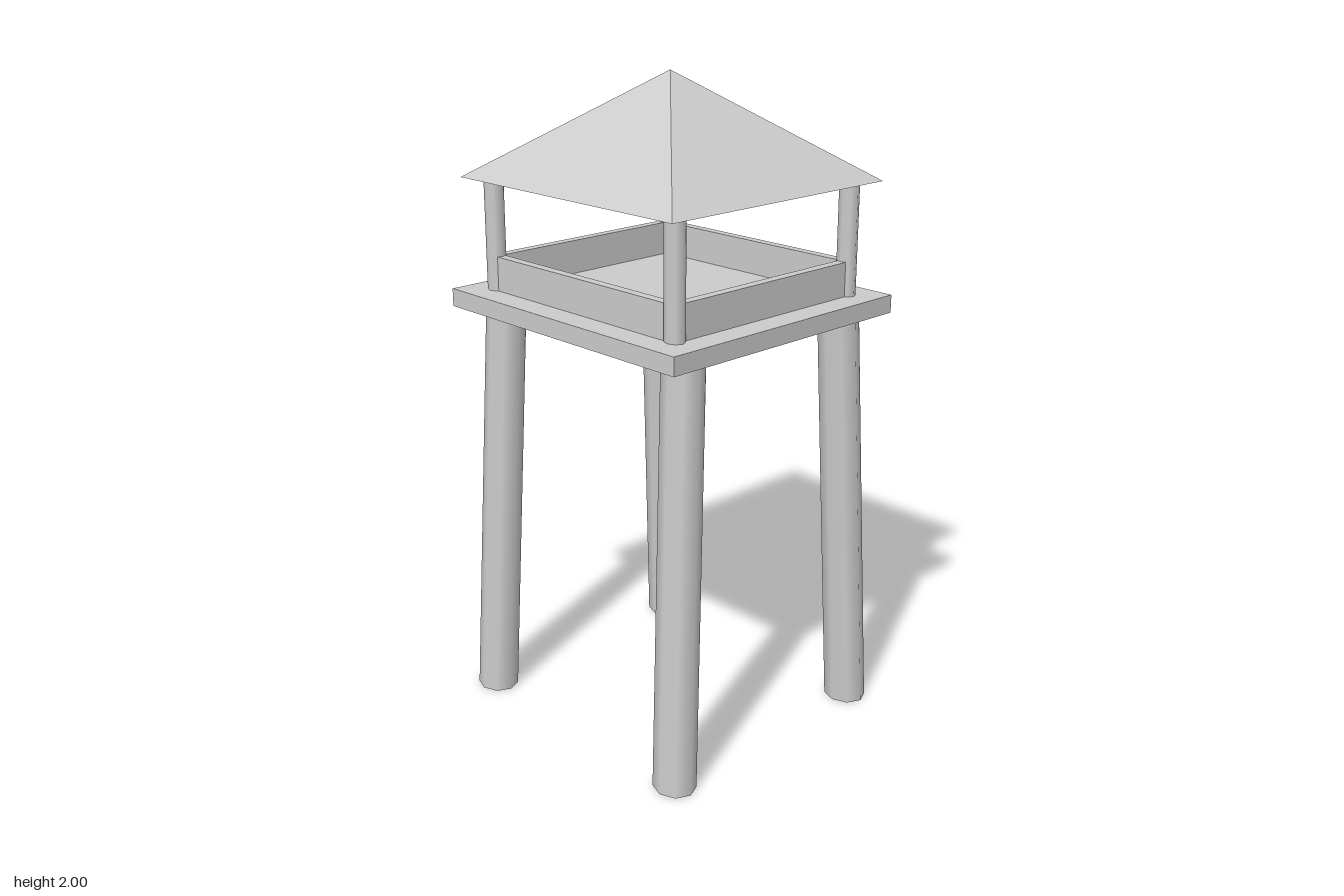
import * as THREE from 'three';

const mat = new THREE.MeshStandardMaterial({ color: 0xcccccc });
const openMat = new THREE.MeshStandardMaterial({ color: 0xcccccc, side: THREE.DoubleSide });
const flatMat = new THREE.MeshStandardMaterial({ color: 0xcccccc, flatShading: true });

export function createModel() {
  const model = new THREE.Group();
  model.name = 'watchtower';

  const add = (name, geometry, material, x, y, z) => {
    const mesh = new THREE.Mesh(geometry, material);
    mesh.name = name;
    mesh.position.set(x, y, z);
    model.add(mesh);
  };

  const deckBottom = 1.29, deckTop = 1.345, eaves = 1.685;
  const postX = 0.353, postZ = 0.386;

  for (const sx of [-1, 1]) {
    for (const sz of [-1, 1]) {
      // Leg: slightly oval open tube, sheared inward so its ends stay level
      const leg = new THREE.CylinderGeometry(0.96, 1, deckBottom, 8, 1, true);
      leg.scale(0.061, 1, 0.068);
      leg.applyMatrix4(new THREE.Matrix4().set(
        1, -sx * 0.064 / deckBottom, 0, 0,
        0, 1, 0, 0,
        0, -sz * 0.034 / deckBottom, 1, 0,
        0, 0, 0, 1));
      leg.computeBoundingSphere();
      add('leg', leg, openMat, sx * 0.354, deckBottom / 2, sz * 0.404);

      // Roof post
      const post = new THREE.CylinderGeometry(1, 1, eaves - deckTop, 8, 1, true);
      post.scale(0.028, 1, 0.032);
      add('roofPost', post, openMat, sx * postX, (deckTop + eaves) / 2, sz * postZ);
    }
  }

  // Deck
  add('deck', new THREE.BoxGeometry(0.9, deckTop - deckBottom, 0.966), mat, 0, (deckBottom + deckTop) / 2, 0);

  // Low parapet walls between the posts
  const wallH = 0.105, wallT = 0.03;
  for (const s of [-1, 1]) {
    add('parapetWall', new THREE.BoxGeometry(postX * 2, wallH, wallT), mat, 0, deckTop + wallH / 2, s * postZ);
    add('parapetWall', new THREE.BoxGeometry(wallT, wallH, postZ * 2), mat, s * postX, deckTop + wallH / 2, 0);
  }

  // Pyramid roof with a closed underside
  const roof = new THREE.ConeGeometry(Math.SQRT2, 2 - eaves, 4);
  roof.rotateY(Math.PI / 4);
  roof.scale(0.425, 1, 0.451);
  add('roof', roof, flatMat, 0, (2 + eaves) / 2, 0);

  return model;
}
